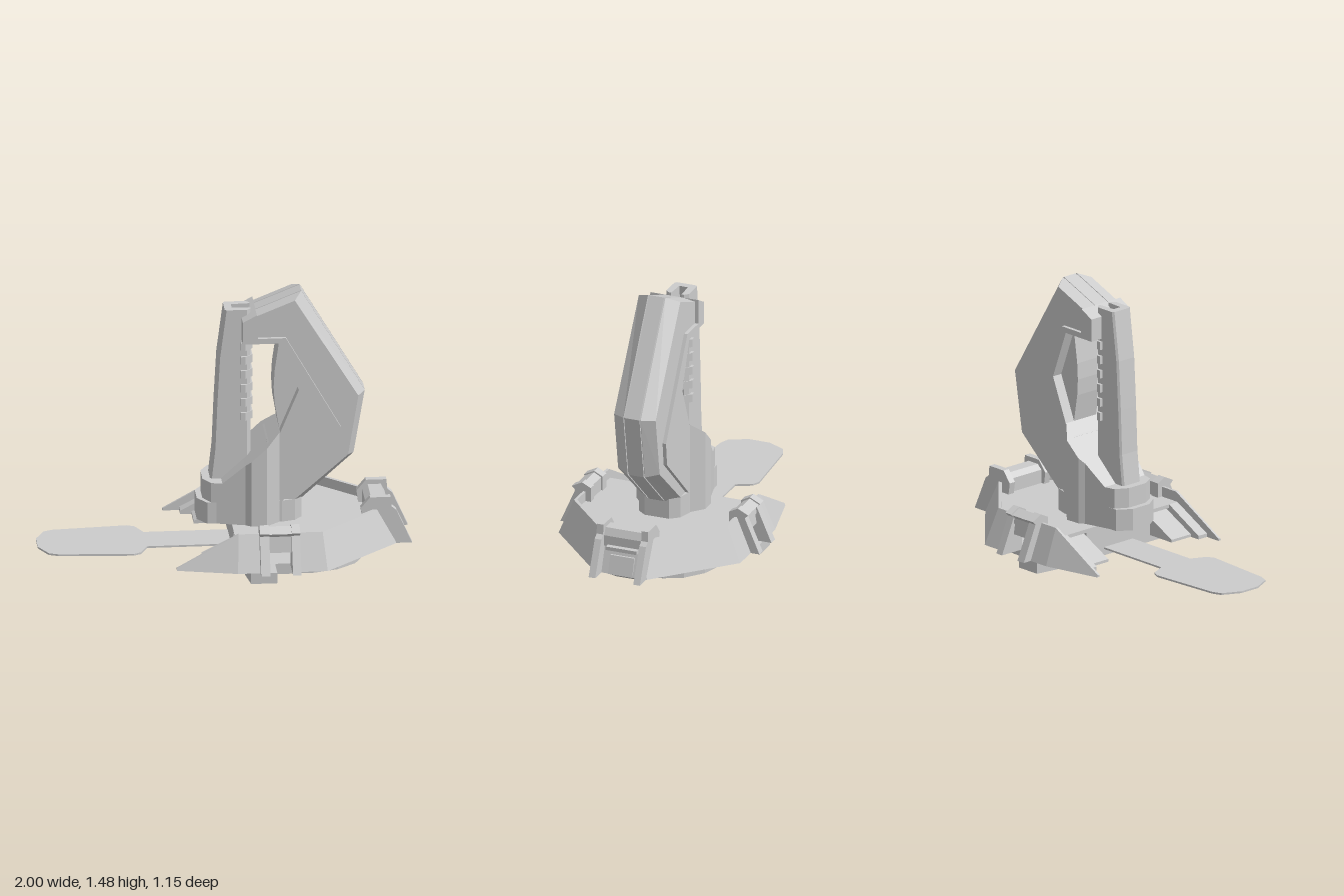
import * as THREE from 'three';

const material = new THREE.MeshStandardMaterial({ color: 0xcccccc, flatShading: true });

// Closed solid through matching loops of [x, y, z] points, capped at both ends.
function loft(loops) {
  const pos = [];
  const tri = (a, b, c) => pos.push([a, b, c]);
  const n = loops[0].length;
  for (let s = 0; s < loops.length - 1; s++) {
    for (let i = 0; i < n; i++) {
      const j = (i + 1) % n, A = loops[s], B = loops[s + 1];
      tri(A[i], A[j], B[j]);
      tri(A[i], B[j], B[i]);
    }
  }
  [loops[0], loops[loops.length - 1]].forEach((loop, end) => {
    // Project the cap along its main normal axis before triangulating.
    const area = (u, v) => loop.reduce((sum, p, i) => {
      const q = loop[(i + 1) % n];
      return sum + p[u] * q[v] - q[u] * p[v];
    }, 0);
    const [u, v] = [[0, 1], [1, 2], [2, 0]].sort((a, b) => Math.abs(area(...b)) - Math.abs(area(...a)))[0];
    const flat = loop.map(p => new THREE.Vector2(p[u], p[v]));
    const reversed = THREE.ShapeUtils.isClockWise(flat);
    const pts = reversed ? [...loop].reverse() : loop;
    if (reversed) flat.reverse();
    for (const [a, b, c] of THREE.ShapeUtils.triangulateShape(flat, [])) {
      if ((end === 0) !== reversed) tri(pts[a], pts[c], pts[b]);
      else tri(pts[a], pts[b], pts[c]);
    }
  });
  // Turn all faces outward.
  const vec = p => new THREE.Vector3(...p);
  const volume = pos.reduce((sum, [a, b, c]) => sum + vec(a).dot(vec(b).cross(vec(c))), 0);
  const data = pos.flatMap(([a, b, c]) => (volume < 0 ? [a, c, b] : [a, b, c])).flat();
  const geo = new THREE.BufferGeometry();
  geo.setAttribute('position', new THREE.Float32BufferAttribute(data, 3));
  geo.computeVertexNormals();
  return geo;
}

// Side outline (x, y) between two z values.
const side = (pts, z0, z1) => loft([z0, z1].map(z => pts.map(([x, y]) => [x, y, z])));

// Half outline (x, z >= 0) completed by its mirror image.
const mirrored = half => [...half, ...[...half].reverse().map(([x, z]) => [x, -z])];

// Mirrored plan outline between two heights.
const plan = (half, y0, y1) => loft([y0, y1].map(y => mirrored(half).map(([x, z]) => [x, y, z])));

function box(x0, x1, y0, y1, z0, z1) {
  return new THREE.BoxGeometry(x1 - x0, y1 - y0, z1 - z0)
    .translate((x0 + x1) / 2, (y0 + y1) / 2, (z0 + z1) / 2);
}

export function createModel() {
  const model = new THREE.Group();
  const add = (name, geo) => {
    const mesh = new THREE.Mesh(geo, material);
    mesh.name = name;
    model.add(mesh);
  };

  // Walkway and foundation
  add('walkway', plan([[-1, 0.06], [-0.95, 0.16], [-0.9, 0.18], [-0.5, 0.21], [-0.46, 0.19],
    [-0.42, 0.105], [0.1, 0.105]], 0.06, 0.07));
  add('foundation', plan([[0.08, 0.39], [0.1, 0.525], [0.24, 0.525], [0.24, 0.395], [0.45, 0.39], [0.58, 0.35],
    [0.68, 0.27], [0.73, 0.17], [0.745, 0.07]], 0, 0.06));
  add('foundationWedge', side([[0.7, 0], [0.8, 0], [0.91, 0.06], [0.7, 0.06]], -0.07, 0.07));

  // Deck with stepped ramps
  add('deck', plan([[0.03, 0.44], [0.48, 0.44], [0.83, 0.12]], 0.18, 0.2));
  add('entryBlock', box(0.03, 0.15, 0.06, 0.19, -0.23, 0.23));
  for (const s of [-1, 1]) {
    add('outerRamp', side([[-0.2, 0.06], [-0.2, 0.08], [0.03, 0.2], [0.15, 0.2], [0.15, 0.06]], s * 0.37, s * 0.435));
    add('innerRamp', side([[-0.14, 0.06], [-0.14, 0.075], [0.1, 0.195], [0.15, 0.195], [0.15, 0.06]], s * 0.23, s * 0.37));
  }

  // Sloped rampart: each station is bottom x,z, top x,z, inner x,z and height
  const section = ([xb, zb, xt, zt, xi, zi, h]) => {
    const k = 0.85;
    return [[xb, 0.06, zb], [xb + (xt - xb) * k, 0.06 + (h - 0.06) * k, zb + (zt - zb) * k],
      [xt, h, zt], [xi, h, zi], [xi, 0.06, zi]];
  };
  const flip = loop => loop.map(([x, y, z]) => [x, y, -z]);
  const straight = x => section([x, 0.525, x, 0.445, x, 0.43, 0.255]);
  const wing = [section([-0.29, 0.45, -0.29, 0.445, -0.29, 0.432, 0.072]),
    section([0.03, 0.525, 0.04, 0.445, 0.04, 0.43, 0.255]), straight(0.2)];
  const rear = [straight(0.32), section([0.51, 0.525, 0.49, 0.445, 0.48, 0.43, 0.255]),
    section([0.91, 0.15, 0.84, 0.117, 0.82, 0.111, 0.255])];
  add('wingWall', loft(wing));
  add('wingWall', loft(wing.map(flip)));
  add('rearWall', loft([...rear, ...[...rear].reverse().map(flip)]));

  // Side clamps: two legs, a bridge and a small block under it
  const legProfile = [[0.575, 0.06], [0.5, 0.06], [0.44, 0.2], [0.4, 0.2], [0.4, 0.28],
    [0.45, 0.305], [0.51, 0.275], [0.49, 0.255]];
  const bridgeProfile = [[0.49, 0.22], [0.41, 0.2], [0.41, 0.275], [0.45, 0.297], [0.503, 0.27], [0.485, 0.25]];
  for (const s of [-1, 1]) {
    const across = (pts, x0, x1) => loft([x0, x1].map(x => pts.map(([z, y]) => [x, y, s * z])));
    add('clampLeg', across(legProfile, 0.15, 0.2));
    add('clampLeg', across(legProfile, 0.32, 0.365));
    add('clampBridge', across(bridgeProfile, 0.2, 0.32));
    add('clampBlock', across([[0.43, 0.16], [0.49, 0.16], [0.48, 0.22], [0.43, 0.22]], 0.2, 0.32));
  }

  // Rear clamp
  const rearLeg = [[0.995, 0.06], [0.91, 0.06], [0.83, 0.2], [0.73, 0.2], [0.72, 0.265],
    [0.77, 0.325], [0.88, 0.325], [0.885, 0.27], [0.91, 0.25]];
  for (const s of [-1, 1]) add('rearClampLeg', side(rearLeg, s * 0.11, s * 0.148));
  add('rearClampBridge', side([[0.75, 0.2], [0.75, 0.275], [0.78, 0.3], [0.85, 0.3], [0.87, 0.26], [0.87, 0.2]], -0.11, 0.11));
  add('rearLintel', box(0.8, 0.9, 0.19, 0.21, -0.09, 0.09));
  add('rearPanel', side([[0.82, 0.06], [0.82, 0.16], [0.885, 0.16], [0.915, 0.06]], -0.07, 0.07));

  // Tower foot: collar, and a cowl with a sloped top and a chamfered back corner
  add('collar', plan([[-0.15, 0.06], [-0.1, 0.135], [0.1, 0.145], [0.3, 0.14], [0.37, 0.12], [0.41, 0.07]], 0.2, 0.32));
  add('cowl', loft([[-0.12, 0.06], [-0.08, 0.13], [-0.02, 0.145], [0.1, 0.175], [0.13, 0.197],
    [0.215, 0.2], [0.285, 0.14]].map(([x, z]) => {
    const top = Math.max(0.43, 0.447 + 0.92 * x);
    return [[x, 0.2, z], [x, top, z], [x, top, -z], [x, 0.2, -z]];
  })));

  // Slim hollow front mast, open toward the arch, with angled teeth
  add('mast', loft([[0.42, -0.08], [0.6, -0.06], [0.85, -0.05], [1.12, -0.035], [1.39, 0]].map(([y, l]) =>
    mirrored([[l, 0.055], [l + 0.01, 0.065], [0.12, 0.065], [0.14, 0.045], [0.14, 0.03], [l + 0.04, 0.025]])
      .map(([x, z]) => [x, y, z]))));
  for (let i = 0; i < 6; i++) {
    const y = 0.76 + i * 0.08;
    add('mastTooth', plan([[0.085, 0.08], [0.11, 0.08], [0.15, 0.04]], y, y + 0.045));
  }

  // Arch: chamfered outer rim with two grooves (p crest, q chamfer edge, r panel edge)
  const rim = [
    [[0.165, 1.385], [0.165, 1.372], [0.17, 1.25]],
    [[0.41, 1.483], [0.37, 1.455], [0.32, 1.25]],
    [[0.75, 0.905], [0.71, 0.9], [0.615, 0.73]],
    [[0.69, 0.55], [0.655, 0.565], [0.6, 0.6]],
    [[0.39, 0.28], [0.35, 0.3], [0.28, 0.3]],
  ].map(([p, q, r]) => {
    const g = [p[0] + (q[0] - p[0]) * 0.25, p[1] + (q[1] - p[1]) * 0.25];
    const half = [[r, 0.12], [q, 0.12], [p, 0.05], [g, 0.05], [g, 0.043], [p, 0.043]];
    return mirrored(half).map(([a, z]) => [a[0], a[1], z]);
  });
  add('archRim', loft(rim));

  // Raised inner band hooking over the mast, and the set-back edge of the opening
  add('archBand', side([[0.09, 1.345], [0.165, 1.385], [0.17, 1.25], [0.32, 1.25], [0.615, 0.73], [0.6, 0.6],
    [0.28, 0.3], [0.22, 0.3], [0.22, 0.65], [0.29, 0.71], [0.39, 0.95], [0.29, 1.22], [0.09, 1.22]], -0.14, 0.14));
  add('archInnerEdge', side([[0.29, 1.215], [0.265, 1.04], [0.26, 0.95], [0.265, 0.86], [0.29, 0.71],
    [0.4, 0.95]], -0.08, 0.08));

  return model;
}
